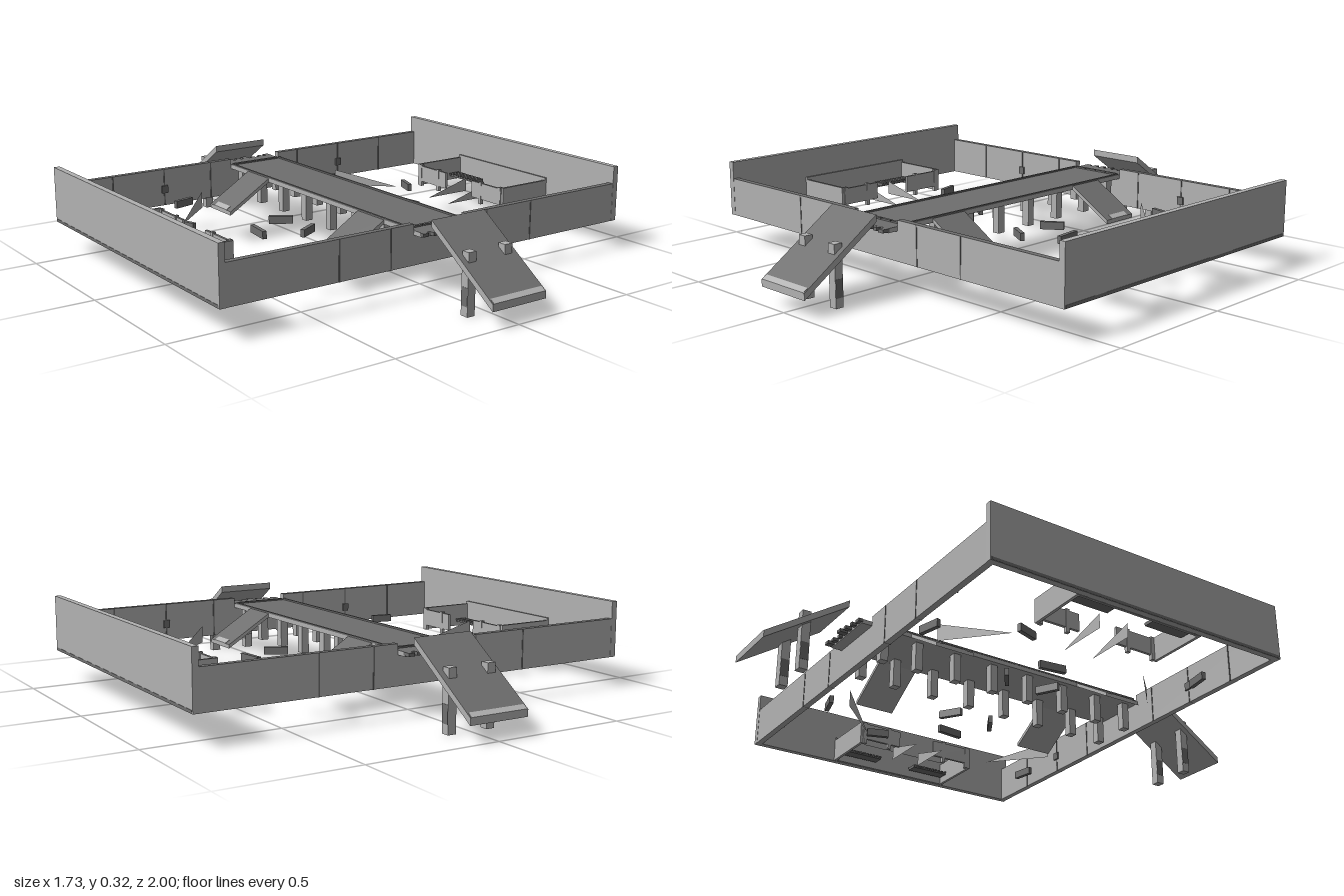
import * as THREE from 'three';

const mat = (name, color, side = THREE.FrontSide) => {
  const m = new THREE.MeshStandardMaterial({ color, side });
  m.name = name;
  return m;
};

export function createModel() {
  const light = mat('light concrete', 0xb2b2b2);
  const dark = mat('dark deck', 0x6f6f6f);
  const sheet = mat('light sheet', 0xb2b2b2, THREE.DoubleSide);
  // light sides with a dark upper face
  const topped = [light, light, dark, light, light, light];
  const root = new THREE.Group();

  // box given by its minimum and maximum on every axis
  function box(name, m, [x0, x1], [y0, y1], [z0, z1], parent = root) {
    const mesh = new THREE.Mesh(new THREE.BoxGeometry(x1 - x0, y1 - y0, z1 - z0), m);
    mesh.position.set((x0 + x1) / 2, (y0 + y1) / 2, (z0 + z1) / 2);
    mesh.name = name;
    parent.add(mesh);
    return mesh;
  }
  // interval from a centre and a width, and a mirrored interval
  const mid = (c, w) => [c - w / 2, c + w / 2];
  const flip = (s, a, b) => (s > 0 ? [a, b] : [-b, -a]);

  // vertical triangular sheet
  function fin(name, a, b, c) {
    const g = new THREE.BufferGeometry();
    g.setAttribute('position', new THREE.Float32BufferAttribute([...a, ...b, ...c], 3));
    g.computeVertexNormals();
    const mesh = new THREE.Mesh(g, sheet);
    mesh.name = name;
    root.add(mesh);
  }
  // ramp with upright ends: its upper face falls from y0 at z0 to y1 at z1
  function ramp(name, m, width, [z0, z1], [y0, y1], thick, parent) {
    const g = new THREE.BoxGeometry(width, thick, z1 - z0);
    const p = g.attributes.position;
    for (let i = 0; i < p.count; i++)
      p.setY(i, p.getY(i) + ((y1 - y0) / (z1 - z0)) * p.getZ(i));
    g.computeVertexNormals();
    const mesh = new THREE.Mesh(g, m);
    mesh.position.set(0, (y0 + y1 - thick) / 2, (z0 + z1) / 2);
    mesh.name = name;
    parent.add(mesh);
  }

  // tall side walls
  for (const s of [-1, 1]) {
    box('sideWall', light, flip(s, 0.843, 0.866), [0.115, 0.325], [-0.605, 0.605]);
    box('sideWallBase', dark, flip(s, 0.8655, 0.867), [0.116, 0.127], [-0.6, 0.6]);
  }

  // end walls with dark tops, panel seams and a gap for the bridge
  for (const sz of [-1, 1]) {
    const wallZ = flip(sz, 0.581, 0.604);
    for (const sx of [-1, 1]) {
      box('endWall', topped, flip(sx, 0.115, 0.843), [0.115, 0.26], wallZ);
      for (const x of [0.21, 0.42])
        box('panelSeam', dark, mid(sx * x, 0.005), [0.115, 0.259], flip(sz, 0.579, 0.6055));
      box('innerSeam', dark, mid(sx * 0.64, 0.005), [0.115, 0.259], flip(sz, 0.578, 0.582));
      box('wallBox', dark, mid(sx * 0.42, 0.026), [0.165, 0.195], flip(sz, 0.574, 0.581));
    }
    box('endWallSill', light, [-0.115, 0.115], [0.115, 0.222], wallZ);
  }

  // central bridge with low edge strips
  box('bridgeDeck', topped, [-0.115, 0.115], [0.222, 0.238], [-0.645, 0.645]);
  for (const s of [-1, 1]) {
    box('bridgeEdge', dark, flip(s, 0.108, 0.116), [0.238, 0.244], [-0.57, 0.57]);
    for (let i = 0; i < 4; i++)
      box('thresholdPlate', dark, mid(-0.078 + i * 0.052, 0.048), [0.238, 0.244], mid(s * 0.573, 0.012));
    // broken plank ends
    for (let i = 0; i < 7; i++)
      box('brokenPlank', dark, mid(-0.105 + i * 0.035, i % 3 ? 0.016 : 0.024), [0.226, 0.238],
        flip(s, 0.64, 0.658 + ((i * 5) % 4) * 0.006));
    // supports
    for (const z of [0.08, 0.24, 0.4, 0.54])
      for (const x of [-0.08, 0.08])
        box('bridgeSupport', light, mid(x, 0.03), [0.115, 0.222], mid(s * z, 0.03));
  }

  // side ramps down to the arena ground
  for (const sx of [-1, 1]) for (const z of [-0.37, 0.365]) {
    const g = new THREE.Group();
    g.name = 'sideRamp';
    ramp('rampSurface', topped, 0.152, [0.115, 0.29], [0.237, 0.13], 0.015, g);
    ramp('rampTip', light, 0.09, [0.272, 0.2905], [0.143, 0.1315], 0.006, g);
    g.position.z = z;
    g.rotation.y = sx * Math.PI / 2;
    root.add(g);
  }

  // outer entry ramps on two legs
  for (const s of [-1, 1]) {
    const g = new THREE.Group();
    g.name = 'entryRamp';
    ramp('rampSurface', topped, 0.23, [0.695, 1], [0.295, 0.09], 0.025, g);
    ramp('rampTip', light, 0.22, [0.982, 1], [0.1035, 0.0914], 0.006, g);
    for (const x of [-0.078, 0.078]) {
      box('rampLeg', light, mid(x, 0.032), [0, 0.22], mid(0.842, 0.032), g);
      box('legSidePatch', dark, mid(x, 0.034), [0.035, 0.1], mid(0.842, 0.03), g);
    }
    g.rotation.y = s > 0 ? 0 : Math.PI;
    root.add(g);
  }

  // shelters with slatted benches against the side walls
  for (const sx of [-1, 1]) {
    const g = new THREE.Group();
    g.name = 'shelter';
    box('shelterBack', topped, flip(sx, 0.832, 0.84), [0.115, 0.215], [-0.26, 0.26], g);
    for (const sz of [-1, 1]) {
      box('shelterSide', topped, flip(sx, 0.608, 0.84), [0.115, 0.205], flip(sz, 0.249, 0.26), g);
      box('shelterFront', topped, flip(sx, 0.605, 0.615), [0.135, 0.2], flip(sz, 0.08, 0.25), g);
      for (const z of [0.13, 0.24])
        box('shelterPost', topped, flip(sx, 0.604, 0.618), [0.115, 0.205], mid(sz * z, 0.014), g);
      box('benchBase', dark, flip(sx, 0.765, 0.81), [0.135, 0.141], flip(sz, 0.08, 0.238), g);
      for (let i = 0; i < 11; i++)
        box('benchSlat', dark, flip(sx, 0.763, 0.812), [0.141, 0.147], mid(sz * (0.085 + i * 0.0148), 0.01), g);
    }
    root.add(g);
  }

  // low barricades scattered on the ground: x, z, length, heading
  const barricades = [[0.37, -0.52, 0.085, 0.25], [0.52, -0.23, 0.085, -1.25], [0.348, 0, 0.105, 1.45],
    [0.193, -0.09, 0.09, -0.6], [0.193, 0.09, 0.09, 0.52], [0.555, 0.5, 0.085, -0.17]];
  for (const [x, z, length, a] of barricades) for (const s of [-1, 1])
    box('barricade', dark, mid(s * x, length), [0.116, 0.145], mid(z, 0.016)).rotation.y = -s * a;

  // thin upright wedges on the ground
  for (const sx of [-1, 1]) for (const sz of [-1, 1]) {
    fin('groundWedge', [sx * 0.7, 0.116, sz * 0.06], [sx * 0.7, 0.17, sz * 0.06], [sx * 0.5, 0.116, sz * 0.06]);
    fin('groundWedge', [sx * 0.51, 0.116, sz * 0.28], [sx * 0.32, 0.116, sz * 0.46], [sx * 0.32, 0.18, sz * 0.46]);
  }
  return root;
}
